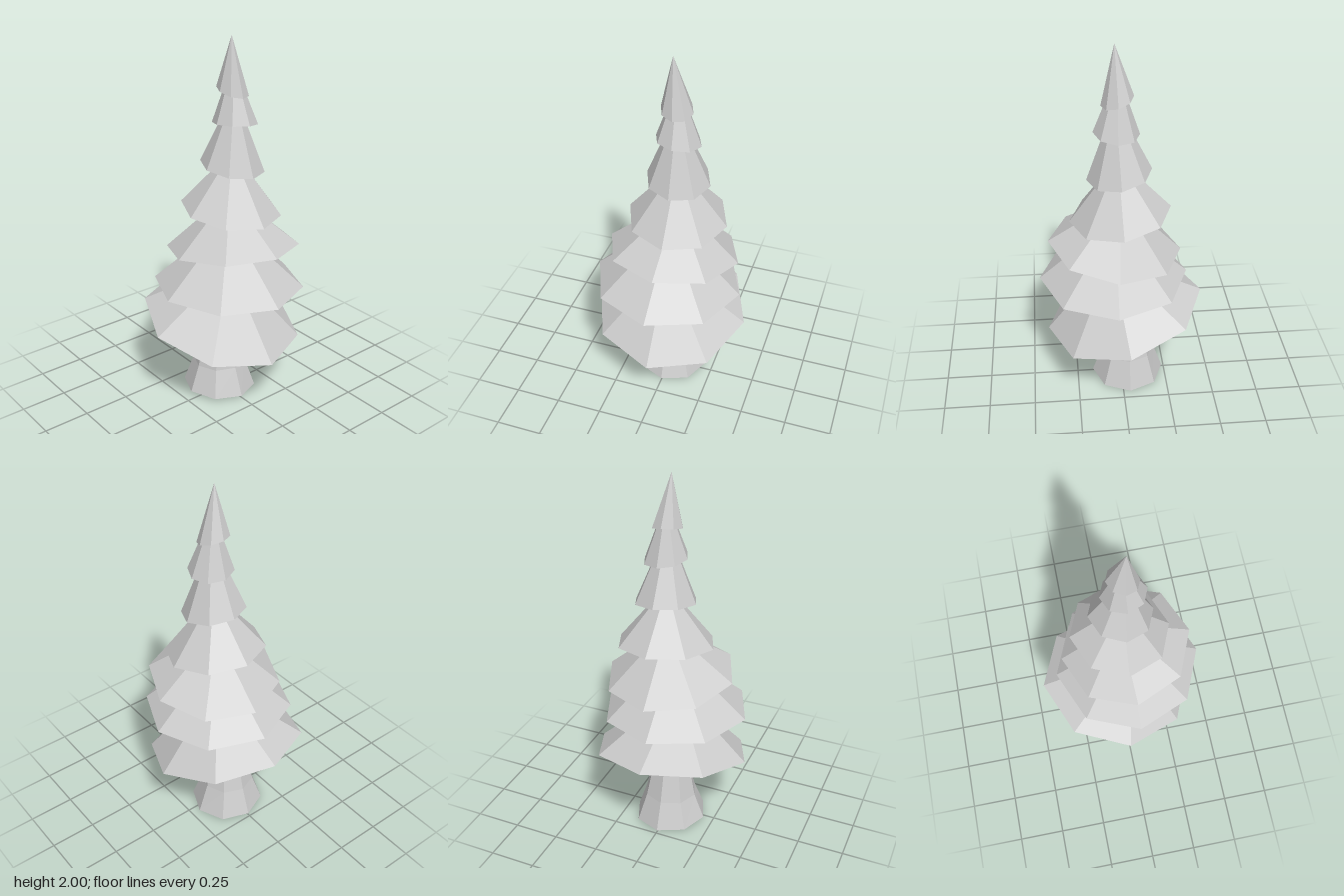
import * as THREE from 'three';

const SIDES = 8;

// Rebuild flat face normals after moving vertices
function faceted(geometry) {
  const flat = geometry.toNonIndexed();
  flat.computeVertexNormals();
  return flat;
}

// Closed eight-sided cone with a tilted base and a free apex
function branchTier({ center: [cx, cy, cz], radius, tilt: [tx, tz], apex }) {
  const geo = new THREE.ConeGeometry(radius, 1, SIDES);
  const pos = geo.attributes.position;
  for (let i = 0; i < pos.count; i++) {
    if (pos.getY(i) > 0) {
      pos.setXYZ(i, ...apex);
    } else {
      const x = pos.getX(i), z = pos.getZ(i);
      pos.setXYZ(i, cx + x, cy + tx * x + tz * z, cz + z);
    }
  }
  return faceted(geo);
}

// Flared trunk, open below, with a slightly tilted foot
function trunkGeometry() {
  const rings = [ // y, radius, centre x
    [0.015, 0.2, -0.038],
    [0.17, 0.145, -0.04],
    [0.34, 0.11, -0.032],
    [0.52, 0.1, -0.015],
  ];
  const geo = new THREE.CylinderGeometry(1, 1, 1, SIDES, rings.length - 1, true);
  const pos = geo.attributes.position;
  for (let i = 0; i < pos.count; i++) {
    const k = Math.round((pos.getY(i) + 0.5) * (rings.length - 1));
    const [y, r, cx] = rings[k];
    const z = pos.getZ(i) * r;
    pos.setXYZ(i, cx + pos.getX(i) * r, y + (k === 0 ? 0.05 * z : 0), z);
  }
  return faceted(geo);
}

export function createModel() {
  const tree = new THREE.Group();
  tree.name = 'coniferTree';

  const paleGrey = new THREE.MeshStandardMaterial({ color: 0xcccccc, flatShading: true, side: THREE.DoubleSide });
  paleGrey.name = 'paleGrey';

  const trunk = new THREE.Mesh(trunkGeometry(), paleGrey);
  trunk.name = 'trunk';
  tree.add(trunk);

  // Branch tiers from the lowest to the tip
  const tiers = [
    { center: [-0.02, 0.442, 0], radius: 0.425, tilt: [-0.25, 0.05], apex: [0.052, 0.79, 0] },
    { center: [0.04, 0.682, -0.003], radius: 0.4, tilt: [-0.005, 0.03], apex: [0.03, 1.04, -0.01] },
    { center: [0.035, 0.89, -0.033], radius: 0.352, tilt: [0.12, 0.035], apex: [0.005, 1.18, -0.04] },
    { center: [0.007, 1.088, -0.045], radius: 0.264, tilt: [-0.125, 0.04], apex: [0.018, 1.41, -0.045] },
    { center: [0.012, 1.322, -0.049], radius: 0.167, tilt: [-0.15, 0.07], apex: [0.03, 1.72, -0.045] },
    { center: [0.026, 1.553, -0.053], radius: 0.117, tilt: [0.08, 0.11], apex: [0.018, 1.87, -0.045] },
    { center: [0.02, 1.718, -0.042], radius: 0.082, tilt: [-0.28, 0.11], apex: [0.032, 2, -0.025] },
  ];
  tiers.forEach((tier, i) => {
    const mesh = new THREE.Mesh(branchTier(tier), paleGrey);
    mesh.name = `branchTier${i + 1}`;
    tree.add(mesh);
  });

  return tree;
}
